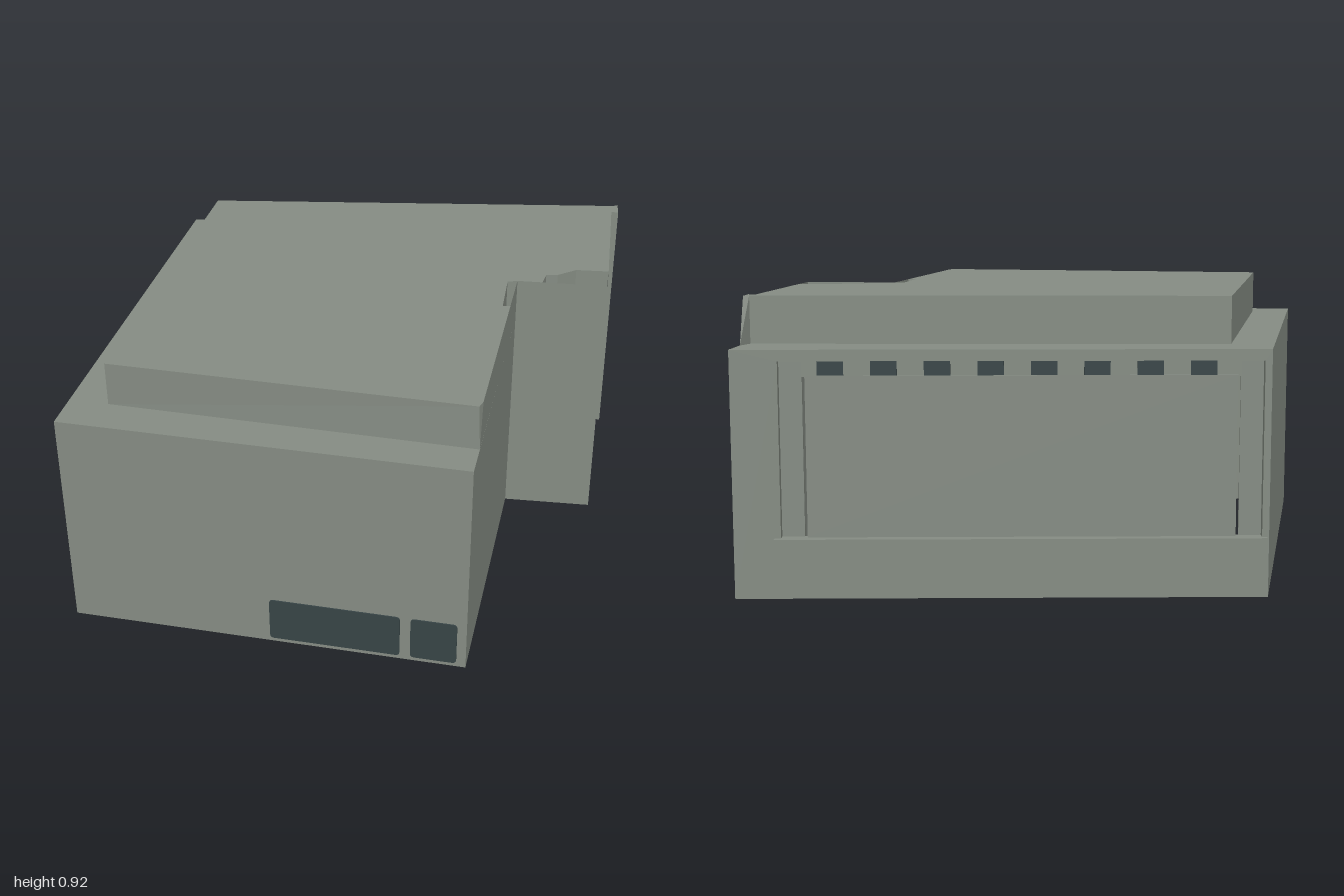
import * as THREE from 'three';

const wallMat = new THREE.MeshStandardMaterial({ color: 0x858c83, side: THREE.DoubleSide });
wallMat.name = 'grey green wall';
const darkMat = new THREE.MeshStandardMaterial({ color: 0x374446, side: THREE.DoubleSide });
darkMat.name = 'dark glass';

const EAVES = 0.77, ROOF = 0.92;

function add(parent, name, geometry, material = wallMat) {
  const mesh = new THREE.Mesh(geometry, material);
  mesh.name = name;
  parent.add(mesh);
  return mesh;
}

// Upright band between a lower and an upper path of [x, z] points
function band(lower, y0, y1, upper = lower, closed = false) {
  const pos = [];
  const n = lower.length;
  for (let i = 0; i < (closed ? n : n - 1); i++) {
    const j = (i + 1) % n;
    const a = [lower[i][0], y0, lower[i][1]], b = [lower[j][0], y0, lower[j][1]];
    const c = [upper[j][0], y1, upper[j][1]], d = [upper[i][0], y1, upper[i][1]];
    pos.push(...a, ...b, ...c, ...a, ...c, ...d);
  }
  const g = new THREE.BufferGeometry();
  g.setAttribute('position', new THREE.Float32BufferAttribute(pos, 3));
  g.computeVertexNormals();
  return g;
}

// Level surface facing up
function slab(points, y) {
  const shape = new THREE.Shape(points.map(([x, z]) => new THREE.Vector2(x, -z)));
  return new THREE.ShapeGeometry(shape).rotateX(-Math.PI / 2).translate(0, y, 0);
}

// Group whose x runs along a wall, y up and z outward
function wallFrame(name, from, to) {
  const g = new THREE.Group();
  g.name = name;
  g.position.set(from[0], 0, from[1]);
  g.rotation.y = Math.atan2(from[1] - to[1], to[0] - from[0]);
  return g;
}

function box(u0, u1, v0, v1, w0, w1) {
  return new THREE.BoxGeometry(u1 - u0, v1 - v0, w1 - w0)
    .translate((u0 + u1) / 2, (v0 + v1) / 2, (w0 + w1) / 2);
}

function roundedPlate(u0, u1, v0, v1, r, t) {
  const s = new THREE.Shape();
  s.moveTo(u0 + r, v0);
  s.lineTo(u1 - r, v0).quadraticCurveTo(u1, v0, u1, v0 + r);
  s.lineTo(u1, v1 - r).quadraticCurveTo(u1, v1, u1 - r, v1);
  s.lineTo(u0 + r, v1).quadraticCurveTo(u0, v1, u0, v1 - r);
  s.lineTo(u0, v0 + r).quadraticCurveTo(u0, v0, u0 + r, v0);
  return new THREE.ExtrudeGeometry(s, { depth: t, bevelEnabled: false }).translate(0, 0, -t / 2);
}

export function createModel() {
  const model = new THREE.Group();
  model.name = 'building';

  // Footprint, from the front corner round to the back
  const A = [-1, 0.58], B = [0.295, 0.9], C = [0.525, -0.04], D = [0.83, 0.01];
  const E = [0.94, -0.585], F = [0.965, -0.58], G = [1, -0.815], H = [-0.64, -0.888];
  add(model, 'outerWalls', band([H, A, B, C, D, E, F, G], 0, EAVES));
  add(model, 'terrace', slab([A, B, C, D, E, F, G, H], EAVES));

  // Raised storey: parapet with raked ends, and roof with small cutouts
  const frontFoot = [0.324, 0.78], frontTop = [0.333, 0.745];
  const backFoot = [0.981, -0.69], backTop = [0.973, -0.645];
  add(model, 'parapet', band([frontFoot, C, D, E, F, backFoot], EAVES, ROOF,
    [frontTop, C, D, E, F, backTop]));
  const inner = [[0.481, 0.14], [0.455, 0.14], [0.49, -0.035], C, [0.61, -0.026],
    [0.63, -0.08], [0.67, -0.08], [0.74, -0.115], [0.851, -0.10], E, F];
  const backLeft = [-0.54, -0.735], backBend = [0.955, -0.638], frontLeft = [-0.84, 0.48];
  const top = [frontLeft, [0.318, 0.772], frontTop, ...inner, backTop, backBend, backLeft];
  const foot = [frontLeft, frontFoot, frontFoot, ...inner, backFoot, backBend, backLeft];
  add(model, 'upperStorey', band(foot, EAVES, ROOF, top, true));
  add(model, 'roof', slab(top, ROOF));

  // Front windows, seen from both sides of the wall
  const front = wallFrame('frontWindows', A, B);
  const k = Math.hypot(B[0] - A[0], B[1] - A[1]) / (B[0] - A[0]);
  for (const [x0, x1] of [[-0.34, 0.083], [0.117, 0.265]])
    add(front, 'window', roundedPlate((x0 + 1) * k, (x1 + 1) * k, 0.015, 0.172, 0.015, 0.008), darkMat);
  model.add(front);

  // Back wall with a wide opening
  const back = wallFrame('backWall', G, H);
  const len = Math.hypot(H[0] - G[0], H[1] - G[1]);
  const rect = (S, u0, u1, v0, v1) => new S([[u0, v0], [u1, v0], [u1, v1], [u0, v1]]
    .map(p => new THREE.Vector2(...p)));
  const wall = rect(THREE.Shape, 0, len, 0, EAVES);
  wall.holes.push(rect(THREE.Path, 0.145, 1.62, 0.19, 0.735));
  add(back, 'backWallFace', new THREE.ExtrudeGeometry(wall, { depth: 0.03, bevelEnabled: false })
    .translate(0, 0, -0.03));
  add(back, 'sill', box(0.125, 1.635, 0.15, 0.19, -0.03, 0.02));
  add(back, 'shutterPanel', box(0.225, 1.54, 0.19, 0.69, -0.02, -0.012));
  for (const u of [0.145, 1.55])
    add(back, 'sideStrip', box(u, u + 0.07, 0.19, 0.735, -0.035, -0.028));
  add(back, 'ventHeader', box(0.215, 1.55, 0.685, 0.735, -0.03, -0.02));

  // Row of dark vents above the panel
  for (let i = 0; i < 8; i++) {
    const u = 0.262 + i * 0.162;
    add(back, 'vent', box(u, u + 0.08, 0.69, 0.735, -0.02, -0.014), darkMat);
  }
  model.add(back);
  return model;
}
